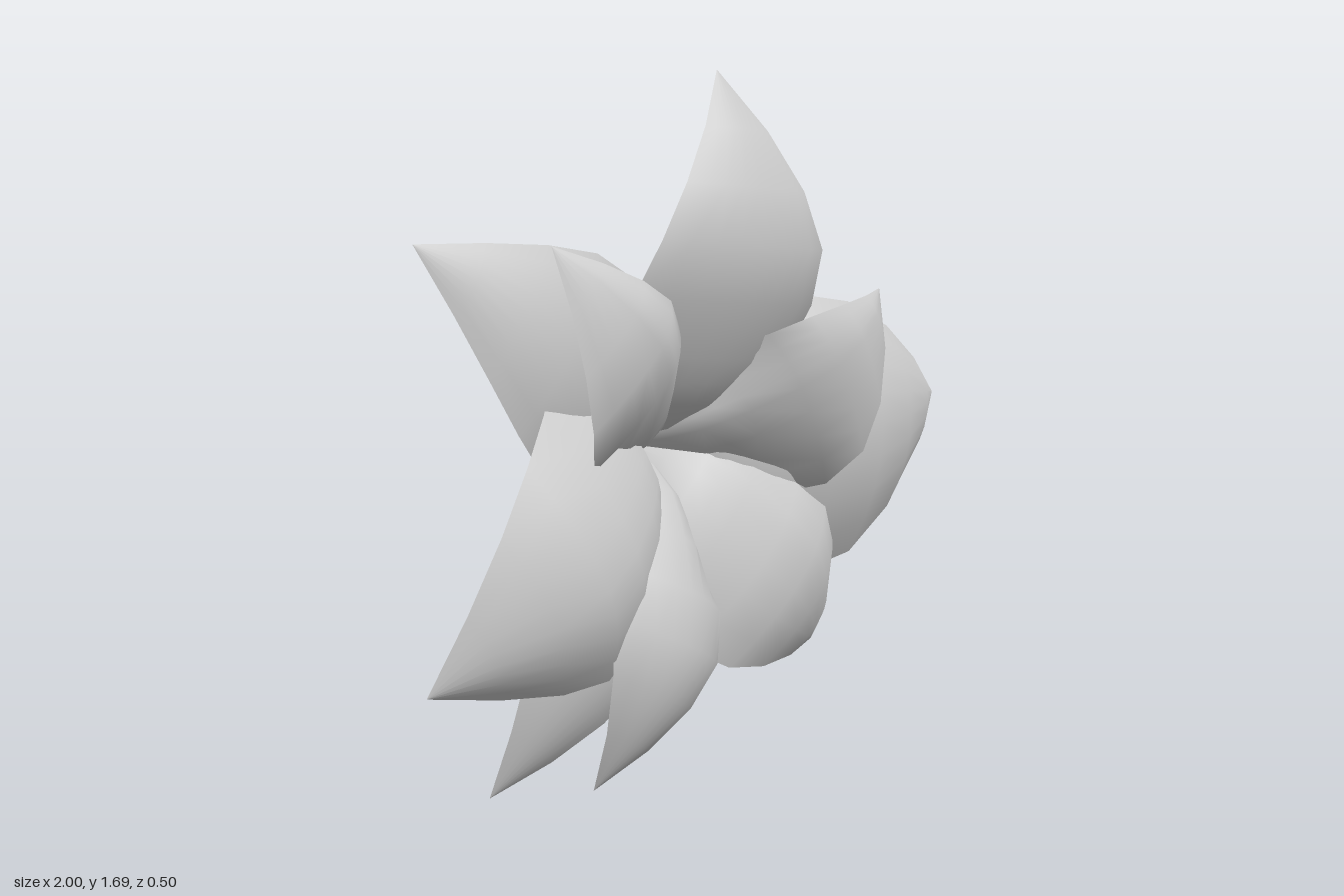
import * as THREE from 'three';

const BASE = new THREE.Vector3(-0.12, 0.78, -0.18);
const WIDTH_STEPS = 8;

// Along a petal: position, share of widest half-width, share of forward bulge
const PROFILE = [
  [0, 0.06, 0], [0.05, 0.46, 0.43], [0.12, 0.82, 0.68], [0.18, 0.96, 0.78], [0.25, 1.03, 0.87],
  [0.4, 1, 1], [0.55, 0.9, 1], [0.7, 0.66, 0.8], [0.85, 0.35, 0.47], [1, 0, 0],
];

// A thin petal from the shared base to its tip: the midrib arches forward by bulge,
// the edges fall back by droop, and by curl more near the base
function petal(name, material, { tip, left, right, bulge, droop, curl = 0, tilt = 0 }) {
  const end = new THREE.Vector3(...tip);
  const along = new THREE.Vector2(end.x - BASE.x, end.y - BASE.y).normalize();
  const positions = [], indices = [];
  for (const [t, w, rise] of PROFILE) {
    const mid = BASE.clone().lerp(end, t);
    mid.z += bulge * rise;
    const rolled = t < 0.32 ? curl * Math.sin((Math.PI * t) / 0.32) : 0;
    const fall = droop * Math.sqrt(w) * (1.45 - t) + rolled;
    for (let j = 0; j <= WIDTH_STEPS; j++) {
      const s = (j / WIDTH_STEPS) * 2 - 1;
      const offset = s * w * (s < 0 ? left : right);
      positions.push(
        mid.x + along.y * offset,
        mid.y - along.x * offset,
        mid.z - fall * s * s + tilt * w * s
      );
    }
  }
  const row = WIDTH_STEPS + 1;
  for (let i = 0; i < PROFILE.length - 1; i++) {
    for (let j = 0; j < WIDTH_STEPS; j++) {
      const a = i * row + j, b = a + 1, c = a + row, d = c + 1;
      indices.push(a, b, d, a, d, c);
    }
  }
  const geometry = new THREE.BufferGeometry();
  geometry.setAttribute('position', new THREE.Float32BufferAttribute(positions, 3));
  geometry.setIndex(indices);
  geometry.computeVertexNormals();
  const mesh = new THREE.Mesh(geometry, material);
  mesh.name = name;
  return mesh;
}

export function createModel() {
  const group = new THREE.Group();
  group.name = 'flower';
  const material = new THREE.MeshStandardMaterial({ color: 0xcccccc, side: THREE.DoubleSide });

  // left and right are half-widths seen looking from base to tip
  const petals = {
    topPetal: { tip: [-0.02, 1.7, 0.05], left: 0.28, right: 0.29, bulge: 0.28, droop: 0.07, tilt: 0.05 },
    leftPetal: { tip: [1, 0.8, 0], left: 0.34, right: 0.39, bulge: 0.27, droop: 0.13 },
    rightPetal: { tip: [-1, 0.33, 0], left: 0.31, right: 0.37, bulge: 0.28, droop: 0.13 },
    upperRightBackPetal: { tip: [-0.9, 1.33, -0.12], left: 0.27, right: 0.27, bulge: 0.2, droop: 0.06 },
    upperRightFrontPetal: { tip: [-0.66, 1.32, 0.08], left: 0.29, right: 0.15, bulge: 0.24, droop: 0.06, curl: 0.19 },
    upperLeftFrontPetal: { tip: [0.47, 1.14, 0.19], left: 0.16, right: 0.31, bulge: 0.24, droop: 0.04, curl: 0.22 },
    lowerLeftPetal: { tip: [0.47, 0.2, -0.02], left: 0.27, right: 0.36, bulge: 0.26, droop: 0.09 },
    bottomPetal: { tip: [-0.48, 0.01, 0.04], left: 0.24, right: 0.24, bulge: 0.26, droop: 0.08, curl: 0.16 },
    lowerRightBackPetal: { tip: [-0.68, 0.01, -0.11], left: 0.25, right: 0.25, bulge: 0.2, droop: 0.07 },
  };

  for (const [name, shape] of Object.entries(petals)) group.add(petal(name, material, shape));
  return group;
}
